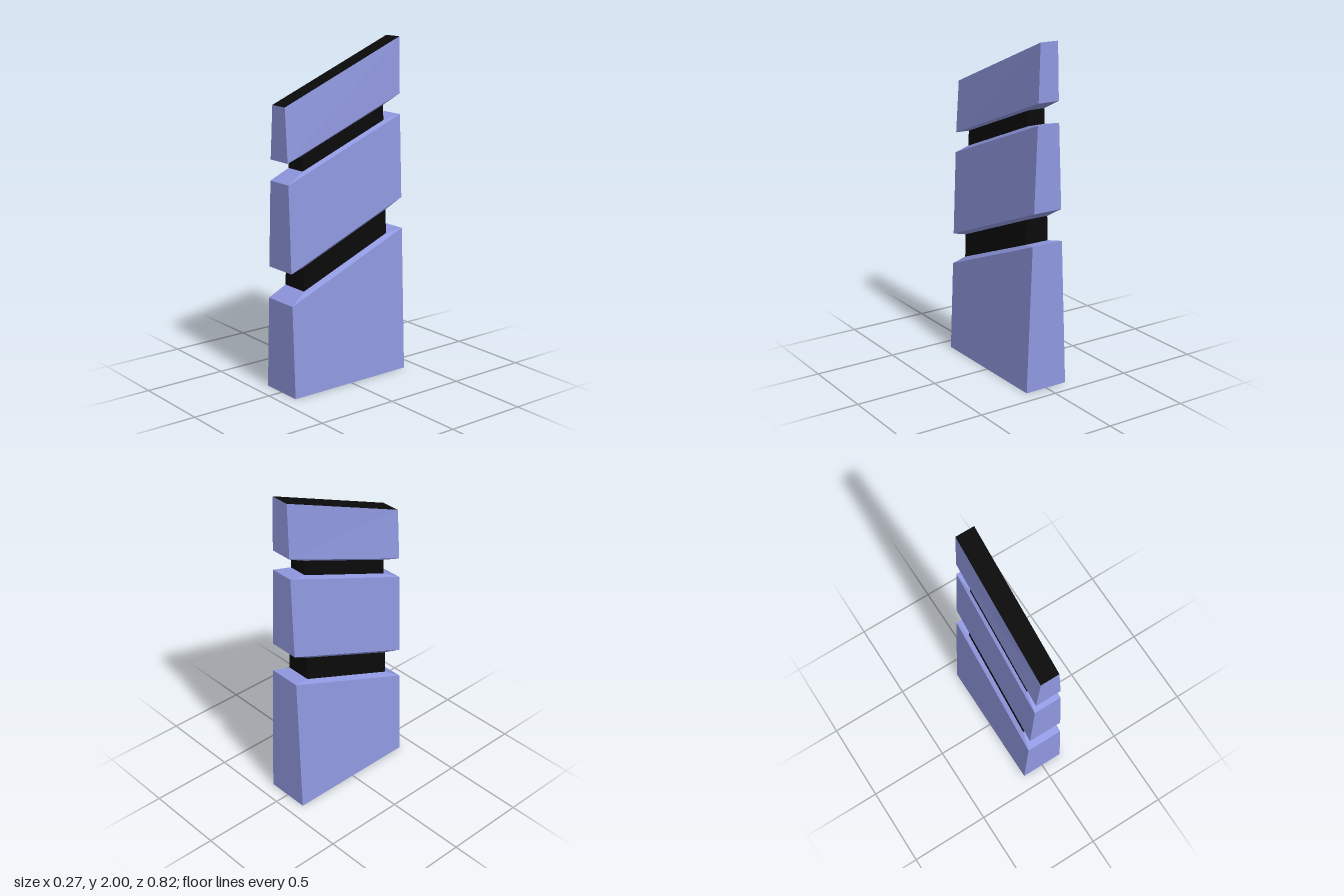
import * as THREE from 'three';

const blue = new THREE.MeshStandardMaterial({ color: 0x9098e0, flatShading: true });
const black = new THREE.MeshStandardMaterial({ color: 0x0a0a0a, flatShading: true });

// Slanted four-cornered section: front z, front y, front half width, then the same at the back
const ring = (zf, yf, wf, zb, yb, wb) => [[-wf, yf, zf], [wf, yf, zf], [wb, yb, zb], [-wb, yb, zb]];

const base = ring(0.41, 0, 0.136, -0.41, 0, 0.136);
const lowerRim = ring(0.41, 0.545, 0.113, -0.41, 0.87, 0.1);
const lowerNeckBottom = ring(0.31, 0.61, 0.088, -0.305, 0.85, 0.077);
const lowerNeckTop = ring(0.31, 0.75, 0.083, -0.305, 0.995, 0.073);
const middleFoot = ring(0.41, 0.733, 0.106, -0.41, 1.057, 0.092);
const middleRim = ring(0.41, 1.237, 0.085, -0.41, 1.55, 0.071);
const upperNeckBottom = ring(0.298, 1.298, 0.066, -0.295, 1.525, 0.057);
const upperNeckTop = ring(0.298, 1.387, 0.062, -0.295, 1.613, 0.053);
const topFoot = ring(0.41, 1.358, 0.08, -0.41, 1.672, 0.067);
const topRim = ring(0.41, 1.667, 0.058, -0.41, 2, 0.057);

// Skin a stack of sections, optionally closing the bottom or the top
function loft(name, material, rings, capBottom = false, capTop = false) {
  const index = [];
  for (let r = 0; r < rings.length - 1; r++) {
    for (let i = 0; i < 4; i++) {
      const a = r * 4 + i, b = r * 4 + (i + 1) % 4;
      index.push(a, b, b + 4, a, b + 4, a + 4);
    }
  }
  if (capBottom) index.push(0, 2, 1, 0, 3, 2);
  if (capTop) {
    const t = (rings.length - 1) * 4;
    index.push(t, t + 1, t + 2, t, t + 2, t + 3);
  }
  const indexed = new THREE.BufferGeometry();
  indexed.setAttribute('position', new THREE.Float32BufferAttribute(rings.flat(2), 3));
  indexed.setIndex(index);
  const geometry = indexed.toNonIndexed();
  geometry.computeVertexNormals();
  const mesh = new THREE.Mesh(geometry, material);
  mesh.name = name;
  return mesh;
}

export function createModel() {
  const group = new THREE.Group();
  group.name = 'slantedPillar';

  // Tapered blocks with bevels running into the necks
  group.add(loft('lowerBlock', blue, [base, lowerRim, lowerNeckBottom], true));
  group.add(loft('middleBlock', blue, [lowerNeckTop, middleFoot, middleRim, upperNeckBottom]));
  group.add(loft('topBlock', blue, [upperNeckTop, topFoot, topRim]));

  // Recessed dark necks
  group.add(loft('lowerNeck', black, [lowerNeckBottom, lowerNeckTop]));
  group.add(loft('upperNeck', black, [upperNeckBottom, upperNeckTop]));

  // Dark sloping top face
  group.add(loft('topFace', black, [topRim], false, true));

  return group;
}
